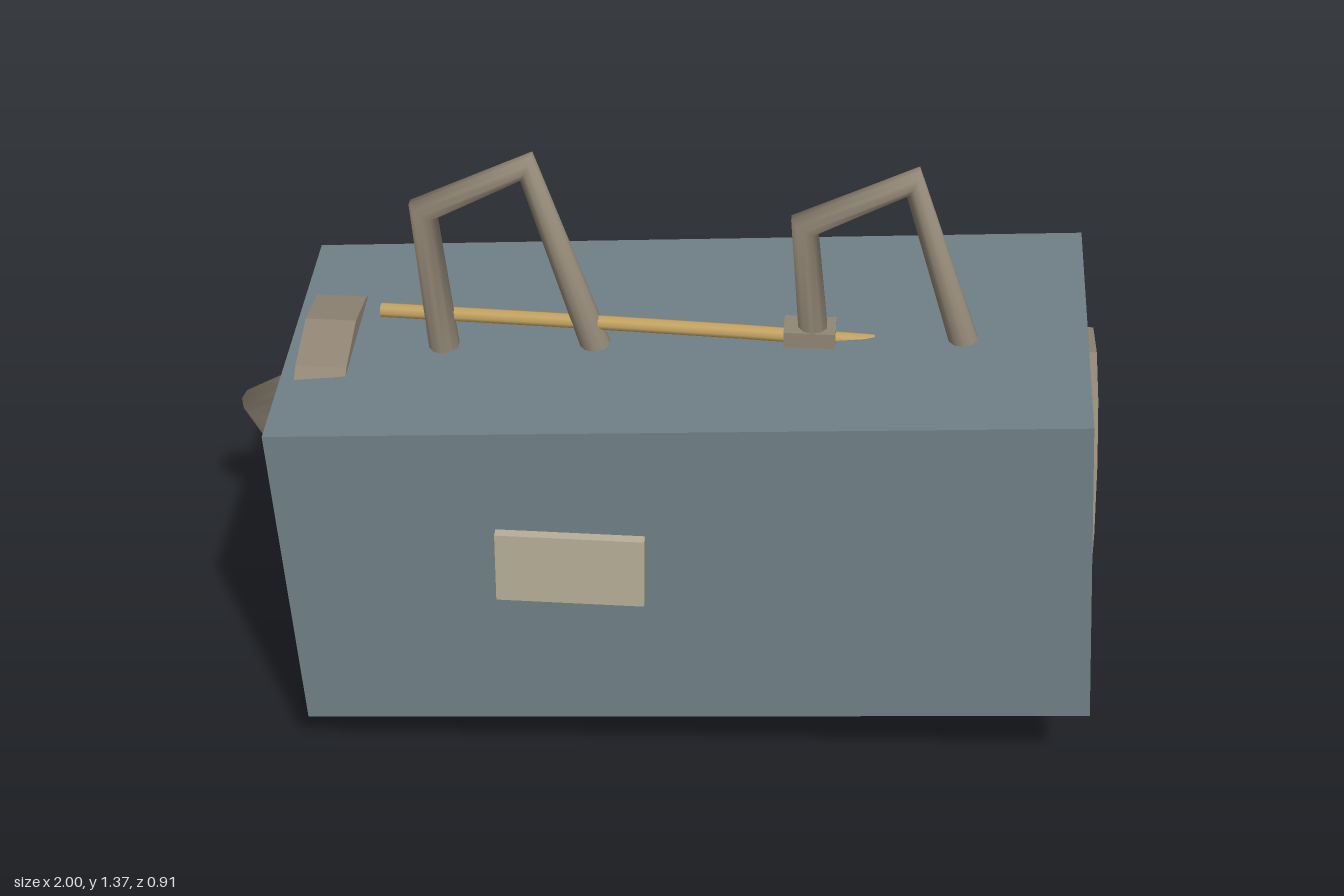
import * as THREE from 'three';

const material = (name, color) => {
  const m = new THREE.MeshStandardMaterial({ color });
  m.name = name;
  return m;
};

// Straight-sided path with crisp corners, for sweeping a tube through each point once
class BentPath extends THREE.Curve {
  constructor(points) {
    super();
    this.points = points.map((p) => new THREE.Vector3(...p));
  }
  getPoint(t, target = new THREE.Vector3()) {
    const s = t * (this.points.length - 1);
    const i = Math.min(Math.floor(s), this.points.length - 2);
    return target.lerpVectors(this.points[i], this.points[i + 1], s - i);
  }
  getPointAt(u, target) {
    return this.getPoint(u, target);
  }
  getTangentAt(u, target = new THREE.Vector3()) {
    const n = this.points.length - 1;
    const i = Math.round(u * n);
    const side = (a, b) => this.points[b].clone().sub(this.points[a]).normalize();
    target.set(0, 0, 0);
    if (i > 0) target.add(side(i - 1, i));
    if (i < n) target.add(side(i, i + 1));
    return target.normalize();
  }
}

export function createModel() {
  const group = new THREE.Group();
  const slate = material('slate', 0x708087);
  const taupe = material('taupe', 0x918675);
  const cream = material('cream', 0xb6ae98);
  const brass = material('brass', 0xc2a262);

  const add = (name, geometry, mat, x = 0, y = 0, z = 0) => {
    const mesh = new THREE.Mesh(geometry, mat);
    mesh.name = name;
    mesh.position.set(x, y, z);
    group.add(mesh);
    return mesh;
  };
  const tube = (name, points, radius, mat, sides = 10) =>
    add(name, new THREE.TubeGeometry(new BentPath(points), points.length - 1, radius, sides), mat);

  // Tilted case body
  const body = add('body', new THREE.BoxGeometry(1.715, 0.757, 0.76), slate, 0.1, 0.546, 0.035);
  body.rotation.z = 0.067;

  // Upright end discs, partly sunk into the tilted body
  const disc = new THREE.CylinderGeometry(0.369, 0.369, 0.11, 16).rotateZ(Math.PI / 2).toNonIndexed();
  disc.computeVertexNormals();
  add('leftEndDisc', disc, taupe, 0.9, 0.546, 0.035);
  add('rightEndDisc', disc, taupe, -0.695, 0.546, 0.035);

  // Pair of bent carrying handles on the lid
  for (const [name, x] of [['rightHandle', 0], ['leftHandle', 0.8]]) {
    tube(name, [
      [x - 0.438, 0.84, 0.075], [x - 0.475, 1.228, 0.075],
      [x - 0.255, 1.342, 0.075], [x - 0.093, 0.84, 0.075],
    ], 0.034, taupe);
  }

  // Shoulder strap hanging behind, with its ends running into the case
  tube('strap', [
    [-0.68, 0.66, -0.19], [-0.955, 0.425, -0.345], [-0.815, 0.085, -0.412],
    [0.55, 0.043, -0.412], [0.965, 0.622, -0.178],
  ], 0.043, taupe);

  // Brass rod along the lid and the clip that holds it
  tube('rod', [
    [-0.58, 0.955, 0.048], [-0.36, 0.963, 0.066], [-0.1, 0.966, 0.078],
    [0.2, 0.955, 0.073], [0.48, 0.937, 0.062],
  ], 0.016, brass, 8);
  for (const [name, x, y, z, dir] of [
    ['rodRightCap', -0.58, 0.955, 0.048, -1], ['rodLeftCap', 0.48, 0.937, 0.062, 1],
  ]) {
    add(name, new THREE.CircleGeometry(0.016, 8).rotateY(dir * Math.PI / 2), brass, x, y, z);
  }
  add('rodClip', new THREE.BoxGeometry(0.11, 0.036, 0.07), taupe, 0.343, 0.962, 0.075);

  // Label plate standing off the front
  add('labelPlate', new THREE.BoxGeometry(0.315, 0.17, 0.022), cream, -0.138, 0.585, 0.446);

  return group;
}
